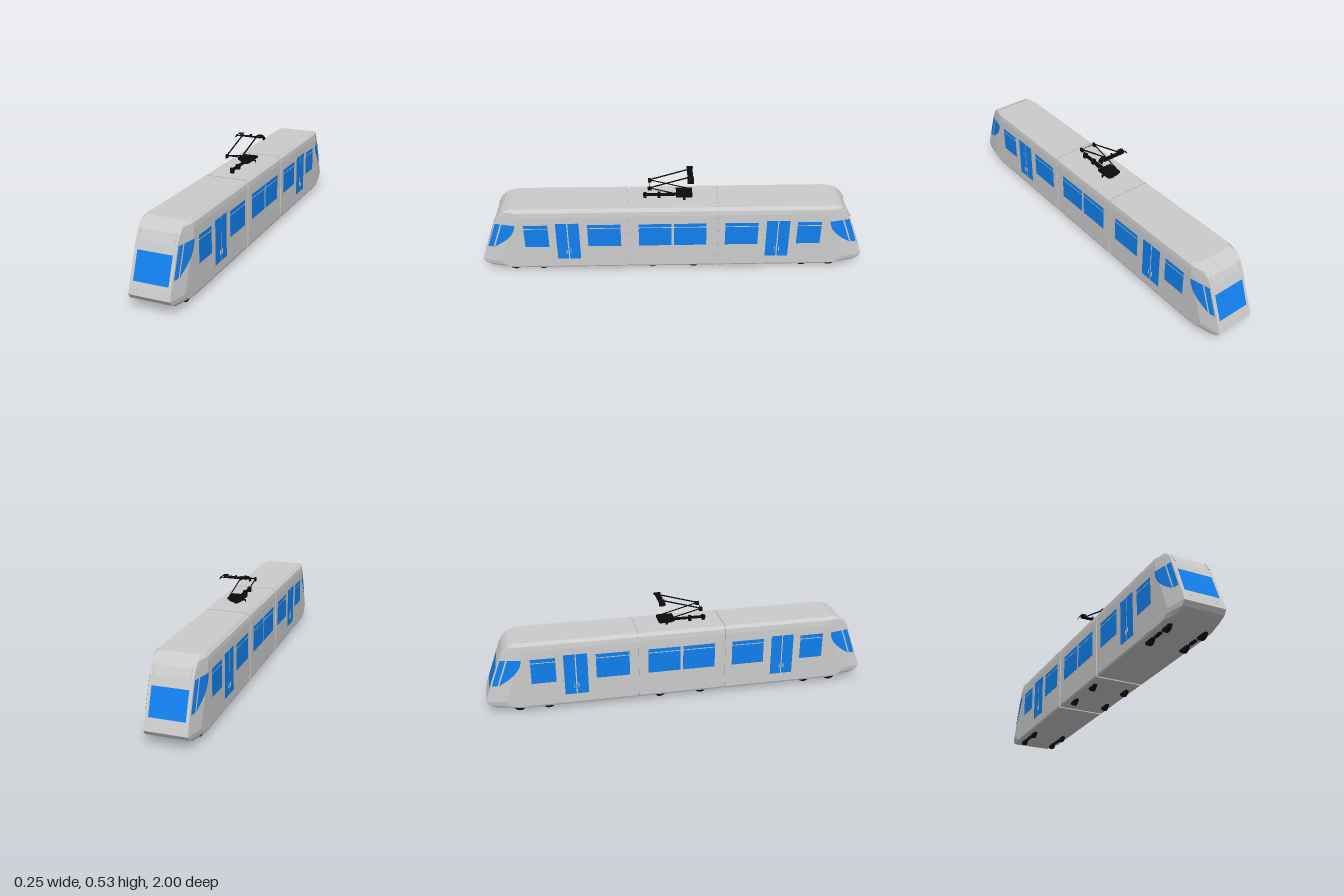
import * as THREE from 'three';

const grey = new THREE.MeshStandardMaterial({ color: 0xcccccc, flatShading: true, side: THREE.DoubleSide });
const blue = new THREE.MeshStandardMaterial({ color: 0x1180ee, side: THREE.DoubleSide });
const black = new THREE.MeshStandardMaterial({ color: 0x0b0b0b, side: THREE.DoubleSide });

// Horizontal outlines of the cab: height, half width, front z, corner depth, corner inset
const CAB = [
  [0.025, 0.120, 0.88, 0.06, 0.020], [0.034, 0.124, 0.95, 0.09, 0.022],
  [0.050, 0.124, 0.985, 0.10, 0.022], [0.072, 0.124, 1.0, 0.10, 0.022],
  [0.100, 0.124, 0.991, 0.10, 0.023], [0.300, 0.124, 0.918, 0.10, 0.023],
  [0.340, 0.123, 0.898, 0.09, 0.021], [0.365, 0.120, 0.872, 0.06, 0.016],
  [0.380, 0.105, 0.83, 0.03, 0.008],
];
const SIDE = 0.124;
const frontZ = (y) => {
  const i = Math.max(1, CAB.findIndex((r) => r[0] >= y));
  const a = CAB[i - 1], b = CAB[i];
  return a[2] + (b[2] - a[2]) * (y - a[0]) / (b[0] - a[0]);
};

function add(parent, name, geo, mat, x = 0, y = 0, z = 0) {
  const m = new THREE.Mesh(geo, mat);
  m.name = name;
  m.position.set(x, y, z);
  parent.add(m);
  return m;
}
const box = (parent, name, mat, w, h, d, x, y, z) =>
  add(parent, name, new THREE.BoxGeometry(w, h, d), mat, x, y, z);

function rod(parent, name, a, b, r, mat = black) {
  const p = new THREE.Vector3(...a), q = new THREE.Vector3(...b);
  const m = add(parent, name, new THREE.CylinderGeometry(r, r, p.distanceTo(q), 8), mat);
  m.position.copy(p).lerp(q, 0.5);
  m.quaternion.setFromUnitVectors(new THREE.Vector3(0, 1, 0), q.sub(p).normalize());
}

// Body shell stacked from horizontal outlines, closed at top and bottom
function shell(rings, backZ) {
  const loops = rings.map(([y, w, z, c, d]) => [
    [w, y, backZ], [w, y, z - c], [w - d, y, z], [d - w, y, z], [-w, y, z - c], [-w, y, backZ]]);
  const pos = [], n = 6;
  const tri = (...p) => p.forEach((v) => pos.push(...v));
  for (let i = 0; i + 1 < loops.length; i++) for (let j = 0; j < n; j++) {
    const k = (j + 1) % n, a = loops[i], b = loops[i + 1];
    tri(a[j], b[j], b[k]);
    tri(a[j], b[k], a[k]);
  }
  const lo = loops[0], hi = loops[loops.length - 1];
  for (let j = 1; j < n - 1; j++) {
    tri(lo[0], lo[j], lo[j + 1]);
    tri(hi[0], hi[j + 1], hi[j]);
  }
  return finish(pos);
}

// Sheet through rows of points
function sheet(rows) {
  const pos = [];
  for (let i = 0; i + 1 < rows.length; i++) for (let j = 0; j + 1 < rows[i].length; j++) {
    const a = rows[i][j], b = rows[i][j + 1], c = rows[i + 1][j + 1], d = rows[i + 1][j];
    pos.push(...a, ...b, ...c, ...a, ...c, ...d);
  }
  return finish(pos);
}
function finish(pos) {
  const g = new THREE.BufferGeometry();
  g.setAttribute('position', new THREE.Float32BufferAttribute(pos, 3));
  g.computeVertexNormals();
  return g;
}

// Rectangular side window with a thin transom bar
function sideWindow(parent, s, z0, z1) {
  const zc = (z0 + z1) / 2, len = z1 - z0;
  box(parent, 'sideWindow', blue, 0.002, 0.133, len, s * SIDE, 0.2265, zc);
  box(parent, 'windowTransom', grey, 0.003, 0.004, len, s * SIDE, 0.272, zc);
}

// Cab window wrapping the chamfered corner between two z limits given per height
function cornerWindow(s, from, to) {
  const rows = [];
  for (let i = 0; i <= 12; i++) {
    const y = 0.157 + 0.138 * i / 12, zf = frontZ(y), kink = zf - 0.1;
    const end = to(zf), start = Math.min(from(zf, i / 12), end);
    const mid = Math.min(Math.max(start, kink), end);
    rows.push([start, mid, end].map((z) =>
      [s * (SIDE + 0.0015 - 0.023 * Math.max(0, (z - kink) / 0.1)), y, z]));
  }
  return sheet(rows);
}

function wheel(parent, x, z) {
  const w = add(parent, 'wheel', new THREE.CylinderGeometry(0.034, 0.034, 0.017, 20), black, x, 0.034, z);
  w.rotation.z = Math.PI / 2;
}

function endCar() {
  const car = new THREE.Group();
  car.name = 'endCar';
  add(car, 'cabBody', shell(CAB, 0.234), grey);
  const row = (y) => [-0.086, 0.086].map((x) => [x, y, frontZ(y) + 0.0015]);
  add(car, 'windshield', sheet([row(0.13), row(0.257)]), blue);
  for (const s of [-1, 1]) {
    add(car, 'cornerWindow', cornerWindow(s, (zf, t) => 0.812 + 0.12 * (1 - t) ** 2, (zf) => zf - 0.042), blue);
    add(car, 'cornerWindowStrip', cornerWindow(s, (zf) => zf - 0.034, (zf) => zf - 0.006), blue);
    sideWindow(car, s, 0.644, 0.768);
    sideWindow(car, s, 0.27, 0.441);
    // Double door with handles
    for (const e of [-1, 1]) {
      box(car, 'doorLeaf', blue, 0.002, 0.221, 0.057, s * SIDE, 0.192, 0.544 + e * 0.0315);
      box(car, 'doorHandle', grey, 0.006, 0.024, 0.004, s * SIDE, 0.128, 0.544 + e * 0.011);
    }
    // Front grab bars and small marker pegs
    rod(car, 'grabBar', [s * 0.086, 0.305, frontZ(0.305) + 0.004], [s * 0.086, 0.347, frontZ(0.347) + 0.004], 0.003, grey);
    box(car, 'markerPeg', grey, 0.003, 0.006, 0.006, s * 0.065, 0.102, 0.991);
    // Bogie
    for (const z of [0.69, 0.835]) wheel(car, s * 0.088, z);
    box(car, 'bogieBar', black, 0.014, 0.012, 0.048, s * 0.088, 0.022, 0.76);
  }
  return car;
}

function middleCar() {
  const car = new THREE.Group();
  car.name = 'middleCar';
  const profile = (end, k) => CAB.map(([y, w]) => [y === 0.38 ? 0.38 - k : y + (y < 0.03 ? k : 0), w - k, end, 0.002, 0.001]);
  add(car, 'middleBody', shell(profile(0.222, 0), -0.222), grey);
  add(car, 'gangway', shell(profile(0.24, 0.005), -0.24), grey);
  for (const s of [-1, 1]) {
    sideWindow(car, s, 0.009, 0.177);
    sideWindow(car, s, -0.173, -0.006);
    for (const z of [-0.11, 0.11]) wheel(car, s * 0.088, z);
  }
  return car;
}

function pantograph() {
  const p = new THREE.Group();
  p.name = 'pantograph';
  // Stepped base on the roof
  box(p, 'baseFoot', black, 0.02, 0.012, 0.06, 0, 0.383, -0.06);
  box(p, 'baseStep', black, 0.044, 0.008, 0.07, 0, 0.391, -0.06);
  box(p, 'basePlate', black, 0.064, 0.008, 0.08, 0, 0.398, -0.06);
  box(p, 'baseTop', black, 0.08, 0.01, 0.084, 0, 0.406, -0.06);
  box(p, 'baseCrossbar', black, 0.09, 0.004, 0.012, 0, 0.395, -0.06);
  box(p, 'roofBeam', black, 0.016, 0.009, 0.175, 0, 0.395, 0.066);
  for (const z of [0.07, 0.142]) box(p, 'roofPost', black, 0.02, 0.026, 0.016, 0, 0.392, z);
  for (const s of [-1, 1]) {
    const x = s * 0.04;
    box(p, 'crossbarFoot', black, 0.003, 0.01, 0.012, s * 0.0435, 0.391, -0.06);
    rod(p, 'lowerArm', [x, 0.408, -0.075], [x, 0.46, 0.12], 0.0028);
    rod(p, 'upperArm', [x, 0.46, 0.12], [x, 0.522, -0.09], 0.0035);
    box(p, 'elbow', black, 0.009, 0.02, 0.018, x, 0.457, 0.118);
    // Curved contact horn
    const horn = [[0.04, 0.526], [0.06, 0.526], [0.069, 0.523], [0.076, 0.516], [0.08, 0.505]];
    add(p, 'contactHorn', sheet(horn.map(([hx, y]) => [[s * hx, y, -0.105], [s * hx, y, -0.075]])), black);
    for (const z of [-0.105, -0.075]) {
      const path = new THREE.CatmullRomCurve3(horn.map(([hx, y]) => new THREE.Vector3(s * hx, y, z)));
      add(p, 'hornRim', new THREE.TubeGeometry(path, 12, 0.0012, 5), black);
    }
  }
  rod(p, 'elbowShaft', [-0.04, 0.46, 0.12], [0.04, 0.46, 0.12], 0.0015);
  box(p, 'contactBar', black, 0.13, 0.002, 0.028, 0, 0.515, -0.09);
  box(p, 'contactPad', black, 0.005, 0.011, 0.03, 0, 0.52, -0.09);
  return p;
}

export function createModel() {
  const tram = new THREE.Group();
  tram.name = 'tram';
  const front = endCar(), back = endCar();
  front.name = 'frontCar';
  back.name = 'backCar';
  back.rotation.y = Math.PI;
  tram.add(front, back, middleCar(), pantograph());
  return tram;
}
